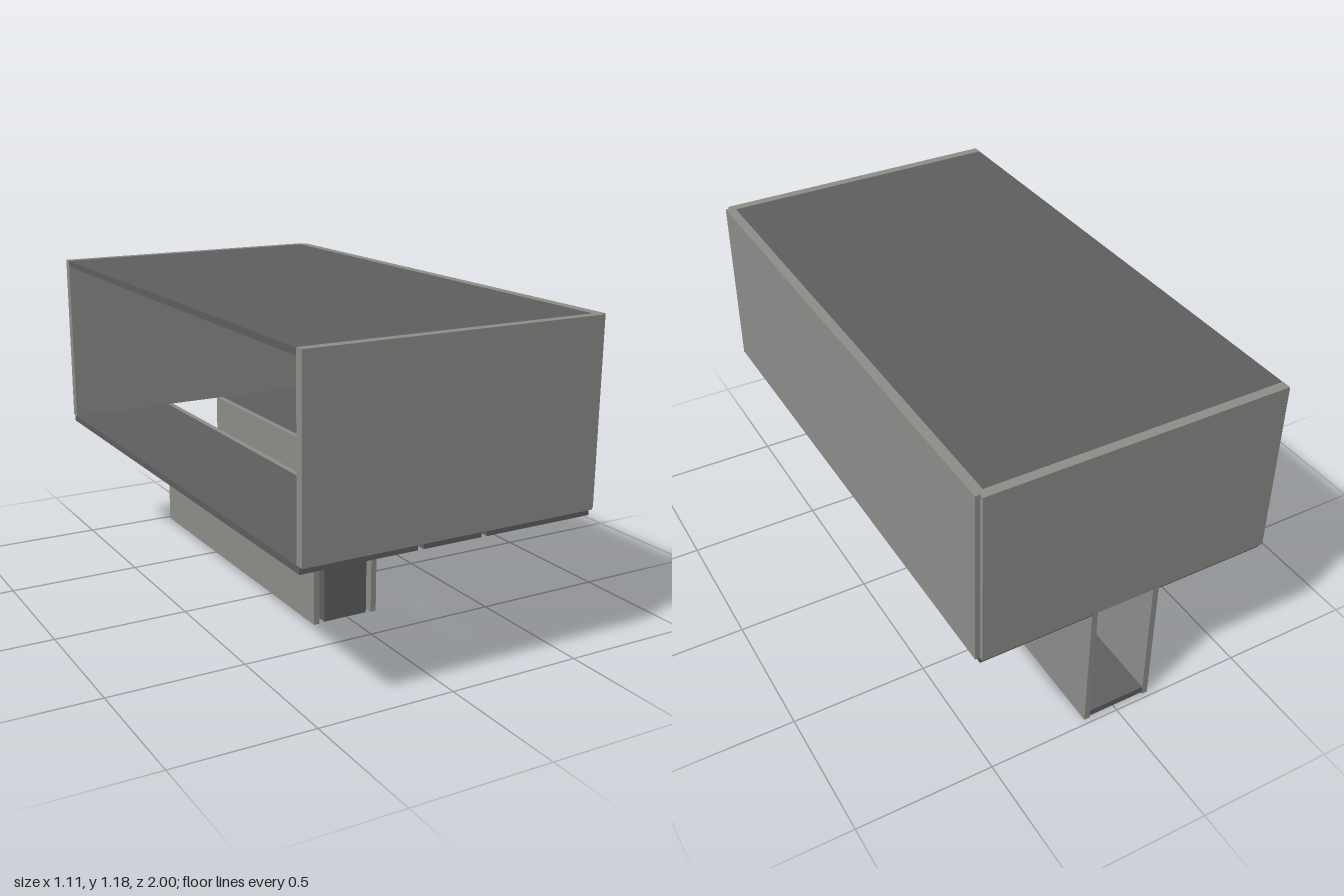
import * as THREE from 'three';

export function createModel() {
  const model = new THREE.Group();
  const wallGrey = new THREE.MeshStandardMaterial({ color: 0x8d8d8a });
  wallGrey.name = 'wallGrey';
  const slabGrey = new THREE.MeshStandardMaterial({ color: 0x5f5f5f });
  slabGrey.name = 'slabGrey';

  // Box given by its limits on each axis
  function block(name, material, [x0, x1], [y0, y1], [z0, z1]) {
    const mesh = new THREE.Mesh(new THREE.BoxGeometry(x1 - x0, y1 - y0, z1 - z0), material);
    mesh.position.set((x0 + x1) / 2, (y0 + y1) / 2, (z0 + z1) / 2);
    mesh.name = name;
    model.add(mesh);
  }

  // Upper room: three walls, open on the -x side
  const wallY = [0.53, 1.182];
  block('frontWall', wallGrey, [-0.555, 0.538], wallY, [0.966, 1]);
  block('backWall', wallGrey, [-0.555, 0.538], wallY, [-1, -0.966]);
  block('sideWall', wallGrey, [0.52, 0.555], wallY, [-0.984, 0.984]);
  block('roof', slabGrey, [-0.555, 0.52], [1.157, 1.181], [-0.966, 0.966]);

  // Floor in three slabs, leaving narrow seams and the stairwell open
  const floorY = [0.506, 0.53];
  const stairFront = 0.333, stairBack = -0.982;
  block('floorSlabOpenSide', slabGrey, [-0.555, -0.14], floorY, [-0.984, 0.984]);
  block('floorSlabWallSide', slabGrey, [0.122, 0.538], floorY, [-0.984, 0.984]);
  block('floorSlabMiddle', slabGrey, [-0.118, 0.1], floorY, [stairFront, 0.984]);

  // Stairwell walls and lower landing
  for (const x of [-0.14, 0.1]) {
    block('stairwellWall', wallGrey, [x, x + 0.022], [0, 0.53], [stairBack, stairFront]);
  }
  const stairStart = -0.38;
  block('lowerLanding', slabGrey, [-0.118, 0.1], [0.01, 0.035], [stairBack, stairStart]);

  // Solid staircase, stepped in profile and rising towards the front
  const steps = 15, run = (stairFront - stairStart) / steps, rise = 0.505 / steps;
  const profile = new THREE.Shape();
  profile.moveTo(stairFront, 0.003);
  for (let i = steps; i > 0; i--) {
    profile.lineTo(stairStart + i * run, i * rise);
    profile.lineTo(stairStart + (i - 1) * run, i * rise);
  }
  profile.lineTo(stairStart, 0.003);
  const stairGeometry = new THREE.ExtrudeGeometry(profile, { depth: 0.176, bevelEnabled: false });
  const stairs = new THREE.Mesh(stairGeometry, slabGrey);
  stairs.rotation.y = -Math.PI / 2;
  stairs.position.x = 0.079;
  stairs.name = 'staircase';
  model.add(stairs);

  return model;
}
